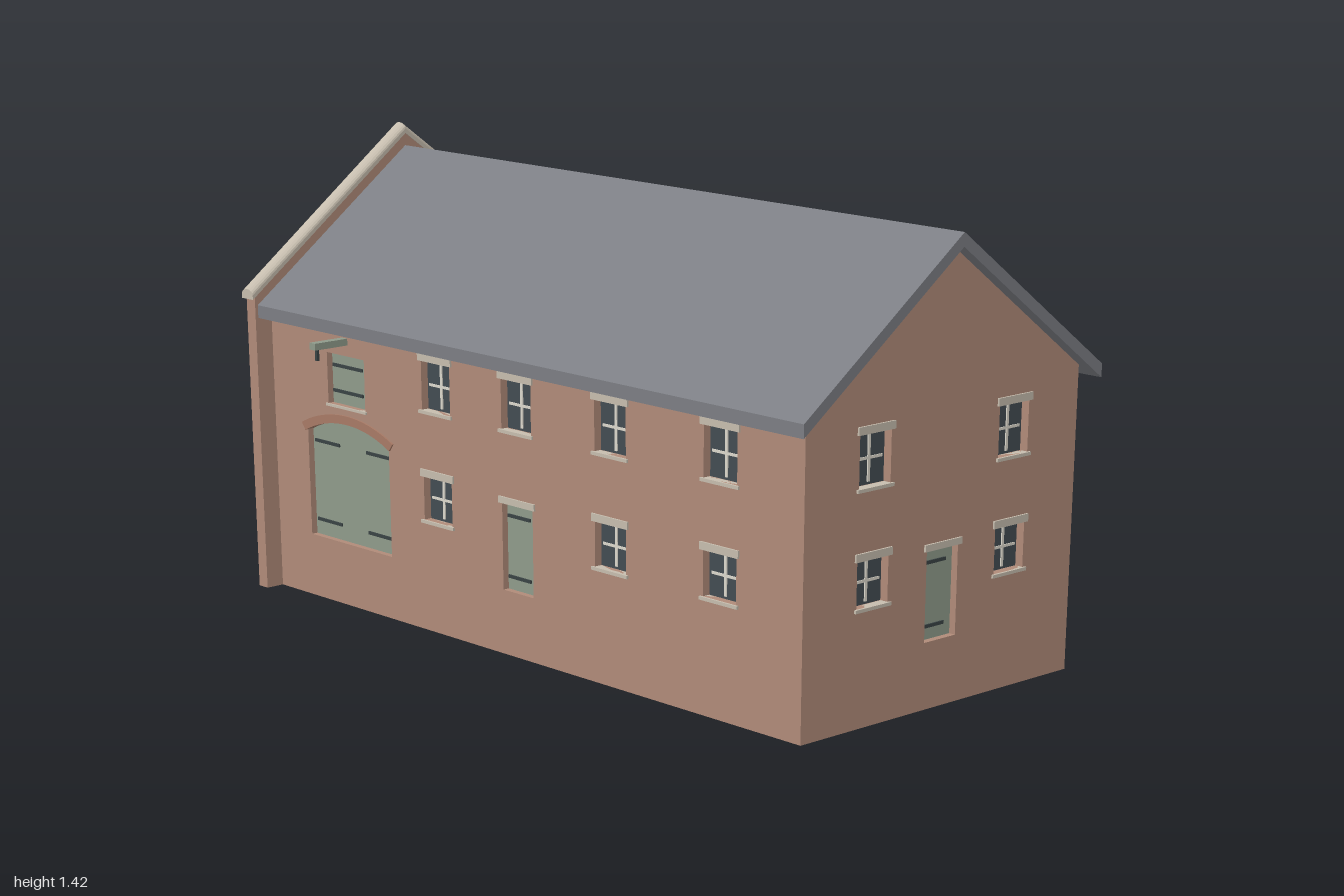
import * as THREE from 'three';

const mat = (name, color, extra = {}) => Object.assign(new THREE.MeshStandardMaterial({ color, ...extra }), { name });

export function createModel() {
  const brick = mat('brick', 0xb08b79);
  const archBrick = mat('arch brick', 0xa87a66);
  const slate = mat('slate', 0x7c7e84);
  const stone = mat('stone', 0xc6bdae);
  const paint = mat('green paint', 0x8f9b8b);
  const glass = mat('glass', 0x434c52);
  const bars = mat('glazing bars', 0xdcd8cc);
  const iron = mat('iron', 0x3a4344);

  const model = new THREE.Group();
  model.name = 'house';

  // The plan is a parallelogram: everything is built square, then skewed along z
  const C = 0.007, HALF = 0.4825, FRONT = 0.965, BACK = -0.96, T = 0.035, SLOPE = 0.835;
  const skew = new THREE.Matrix4().set(1, 0, 0.3, 0, 0, 1, 0, 0, 0, 0, 1, 0, 0, 0, 0, 1);
  const frame = (x, z, turn) => new THREE.Matrix4().makeRotationY(turn).setPosition(x, 0, z).premultiply(skew);
  // Wall frames: local x runs along the wall, local z points outwards from its face
  const body = frame(C, 0, 0);
  const front = frame(C, FRONT, 0);
  const right = frame(C + HALF, 0, Math.PI / 2);
  const left = frame(C - HALF, 0, -Math.PI / 2);

  function add(parent, name, geo, material, at) {
    const mesh = new THREE.Mesh(geo.applyMatrix4(at), material);
    mesh.name = name;
    parent.add(mesh);
    return mesh;
  }
  const group = (name) => {
    const g = new THREE.Group();
    g.name = name;
    model.add(g);
    return g;
  };
  const box = (x0, x1, y0, y1, z0, z1) =>
    new THREE.BoxGeometry(x1 - x0, y1 - y0, z1 - z0).translate((x0 + x1) / 2, (y0 + y1) / 2, (z0 + z1) / 2);
  const poly = (pts) => new THREE.Shape(pts.map(([x, y]) => new THREE.Vector2(x, y)));
  const slab = (shape, z0, z1) =>
    new THREE.ExtrudeGeometry(shape, { depth: z1 - z0, bevelEnabled: false, curveSegments: 16 }).translate(0, 0, z0);
  const rect = (a, w, y0, y1) => poly([[a - w / 2, y0], [a + w / 2, y0], [a + w / 2, y1], [a - w / 2, y1]]);

  // Segmental arch for the wide doorway
  const ARCH = { a: -0.655, h: 0.165, r: 0.325, cy: 0.26, t: Math.asin(0.165 / 0.325) };
  function archShape() {
    const { a, h, r, cy, t } = ARCH, s = new THREE.Shape();
    s.moveTo(a - h, 0.2);
    s.lineTo(a + h, 0.2);
    s.absarc(a, cy, r, Math.PI / 2 - t, Math.PI / 2 + t, false);
    s.closePath();
    return s;
  }

  // Openings fill the holes cut in each wall
  const W = 0.108;
  const upper = (a) => ({ kind: 'window', a, w: W, y0: 0.69, y1: 0.84 });
  const lower = (a) => ({ kind: 'window', a, w: W, y0: 0.35, y1: 0.485 });
  const door = (a) => ({ kind: 'door', a, w: 0.112, y0: 0.2, y1: 0.467 });

  function fillOpening({ kind, a, w, y0, y1 }, at) {
    const g = group(kind);
    const x0 = a - w / 2, x1 = a + w / 2, ym = (y0 + y1) / 2;
    if (kind === 'window') {
      add(g, 'glass', box(x0, x1, y0, y1, -0.028, -0.022), glass, at);
      add(g, 'uprightBar', box(a - 0.004, a + 0.004, y0 + 0.008, y1 - 0.008, -0.031, -0.019), bars, at);
      add(g, 'crossBar', box(x0 + 0.008, x1 - 0.008, ym - 0.004, ym + 0.004, -0.0305, -0.0195), bars, at);
      add(g, 'sill', box(x0 - 0.008, x1 + 0.008, y0 - 0.01, y0, -0.02, 0.006), stone, at);
      add(g, 'lintel', box(x0 - 0.009, x1 + 0.009, y1, y1 + 0.023, -0.02, 0.005), stone, at);
      return;
    }
    add(g, 'doorPanel', box(x0, x1, y0, y1, -0.03, -0.018), paint, at);
    for (const y of [y0 + 0.04, y1 - 0.04])
      add(g, 'strapHinge', box(x0 + 0.004, x1 - 0.026, y - 0.005, y + 0.005, -0.019, -0.014), iron, at);
    if (kind === 'hatch') add(g, 'sill', box(x0 - 0.006, x1 + 0.006, y0 - 0.008, y0, -0.02, 0.004), stone, at);
    else add(g, 'lintel', box(x0 - 0.01, x1 + 0.01, y1, y1 + 0.02, -0.02, 0.005), stone, at);
  }

  function wall(name, outline, openings, at, extraHoles = []) {
    const shape = poly(outline);
    shape.holes.push(...openings.map((o) => rect(o.a, o.w, o.y0, o.y1)), ...extraHoles);
    add(model, name, slab(shape, -T, 0), brick, at);
    openings.forEach((o) => fillOpening(o, at));
  }

  // Front gable and the two long walls
  const PEAK = 1.315, EAVE = PEAK - SLOPE * HALF;
  wall('frontGable', [[-HALF, 0], [HALF, 0], [HALF, EAVE], [0, PEAK], [-HALF, EAVE]],
    [upper(-0.246), upper(0.246), lower(-0.246), lower(0.246), door(0)], front);
  wall('rightWall', [[T - FRONT, 0], [-BACK, 0], [-BACK, EAVE], [T - FRONT, EAVE]],
    [-0.575, 0.5].flatMap((a) => [upper(a), lower(a)]), right);
  wall('leftWall', [[BACK, 0], [FRONT - T, 0], [FRONT - T, EAVE], [BACK, EAVE]],
    [...[0.7, 0.333, 0, -0.3].map(upper), ...[0.7, 0.333, -0.3].map(lower), door(0),
      { kind: 'hatch', a: -0.655, w: 0.15, y0: 0.64, y1: 0.8 }], left, [archShape()]);

  // Wide arched door with brick arch and strap hinges
  const arched = group('archedDoor');
  add(arched, 'doorPanel', slab(archShape(), -0.03, -0.018), paint, left);
  const ring = new THREE.Shape();
  const a0 = Math.PI / 2 - ARCH.t - 0.02, a1 = Math.PI / 2 + ARCH.t + 0.02;
  ring.absarc(ARCH.a, ARCH.cy, ARCH.r + 0.027, a0, a1, false);
  ring.absarc(ARCH.a, ARCH.cy, ARCH.r, a1, a0, true);
  add(arched, 'brickArch', slab(ring, -0.02, 0.005), archBrick, left);
  for (const y of [0.25, 0.505])
    for (const s of [-1, 1]) {
      const c = ARCH.a + s * 0.105;
      add(arched, 'strapHinge', box(c - 0.05, c + 0.05, y - 0.005, y + 0.005, -0.019, -0.014), iron, left);
    }

  // Hoist beam and hook above the hatch
  const hoist = group('hoist');
  add(hoist, 'hoistBeam', box(-0.666, -0.644, 0.835, 0.856, -0.02, 0.108), paint, left);
  add(hoist, 'hoistHook', box(-0.659, -0.651, 0.8, 0.835, 0.089, 0.097), iron, left);

  // Roof: two slopes of even thickness overhanging the walls
  const RH = 0.527, drop = SLOPE * RH;
  add(model, 'roof', slab(poly([[-RH, PEAK - drop], [0, PEAK], [RH, PEAK - drop],
    [RH, PEAK + 0.04 - drop], [0, PEAK + 0.04], [-RH, PEAK + 0.04 - drop]]), BACK, 1), slate, body);

  // Rear gable wall rising above the roof
  const GH = 0.536, GP = 1.4, gs = 0.844;
  add(model, 'rearGable', slab(poly([[-GH, 0], [GH, 0], [GH, GP - gs * GH], [0, GP], [-GH, GP - gs * GH]]),
    -0.992, -0.957), brick, body);

  // Rounded coping: one cross-section carried over the gable
  const section = [];
  for (let i = 0; i <= 8; i++) {
    const t = (Math.PI * i) / 8;
    section.push([-0.977 + 0.023 * Math.cos(t), 0.008 + 0.017 * Math.sin(t)]);
  }
  section.push([-1, -0.006], [-0.954, -0.006]);
  const CH = 0.545, n = section.length, pos = [];
  const point = (x, k) => [x, GP - gs * Math.abs(x) + section[k % n][1], section[k % n][0]];
  for (const [x0, x1] of [[-CH, 0], [0, CH]])
    for (let k = 0; k < n; k++) {
      const a = point(x0, k), b = point(x1, k), c = point(x1, k + 1), d = point(x0, k + 1);
      pos.push(...a, ...b, ...c, ...a, ...c, ...d);
    }
  for (let k = 1; k < n - 1; k++) {
    pos.push(...point(-CH, 0), ...point(-CH, k), ...point(-CH, k + 1));
    pos.push(...point(CH, 0), ...point(CH, k + 1), ...point(CH, k));
  }
  const coping = new THREE.BufferGeometry();
  coping.setAttribute('position', new THREE.Float32BufferAttribute(pos, 3));
  coping.computeVertexNormals();
  add(model, 'coping', coping, stone, body);

  return model;
}
